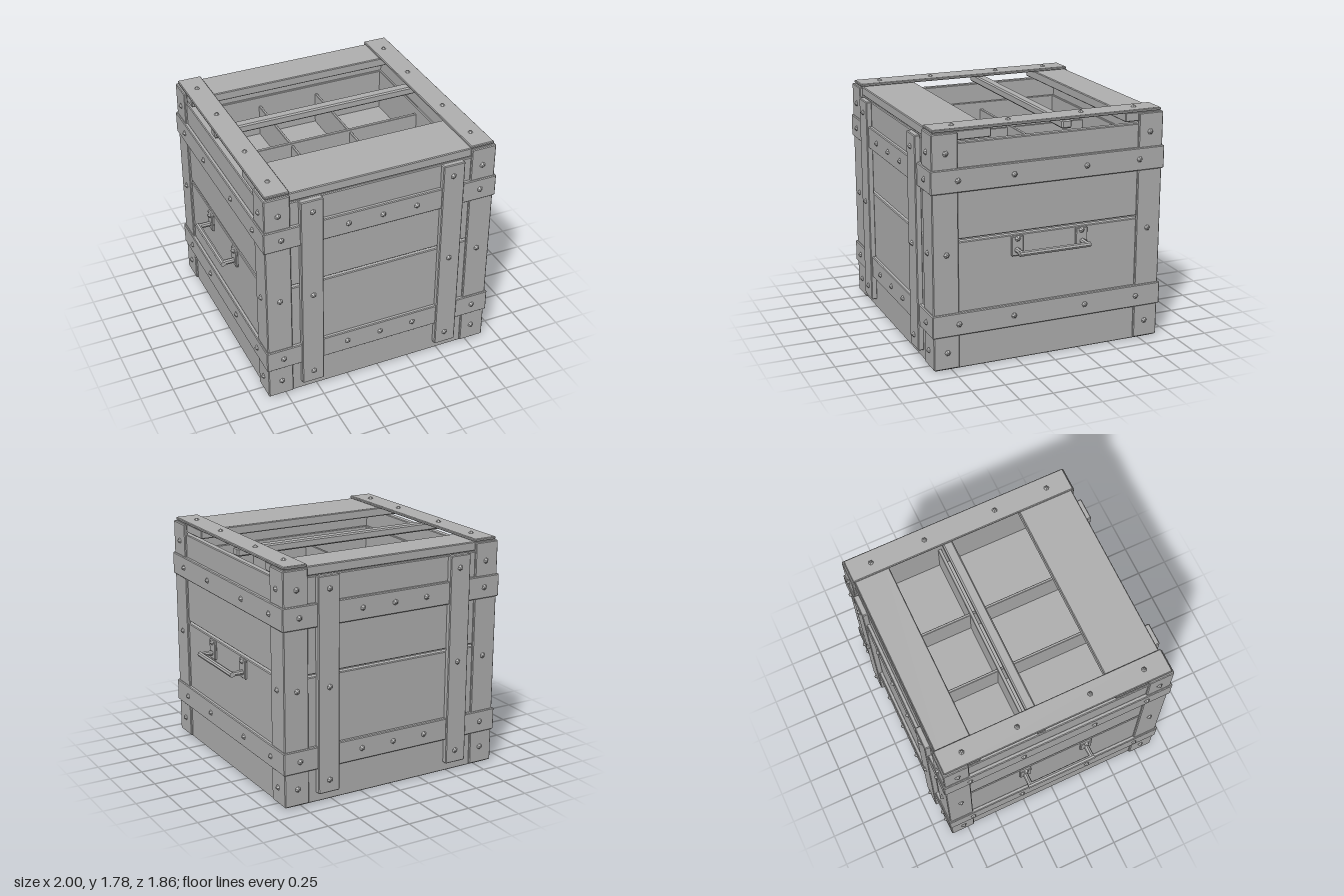
import * as THREE from 'three';
import { ConvexGeometry } from 'three/addons/geometries/ConvexGeometry.js';

const grey = new THREE.MeshStandardMaterial({ color: 0xb0b0b0 });
grey.name = 'plain grey';

// Chamfered box given by its limits on each axis
function block(parent, name, [x0, x1], [y0, y1], [z0, z1], c = 0.006) {
  const h = [(x1 - x0) / 2, (y1 - y0) / 2, (z1 - z0) / 2];
  const b = Math.min(c, ...h.map(v => v * 0.5));
  const points = [];
  for (const sx of [-1, 1]) for (const sy of [-1, 1]) for (const sz of [-1, 1])
    for (let full = 0; full < 3; full++) {
      const p = h.map((v, i) => (i === full ? v : v - b));
      points.push(new THREE.Vector3(p[0] * sx, p[1] * sy, p[2] * sz));
    }
  const mesh = new THREE.Mesh(new ConvexGeometry(points), grey);
  mesh.position.set((x0 + x1) / 2, (y0 + y1) / 2, (z0 + z1) / 2);
  mesh.name = name;
  parent.add(mesh);
  return mesh;
}

// Six-sided rivet whose head points along the given direction
const rivetGeometry = new THREE.CylinderGeometry(0.007, 0.024, 0.02, 6).toNonIndexed();
rivetGeometry.computeVertexNormals();
const up = new THREE.Vector3(0, 1, 0);
function rivet(parent, position, direction) {
  const dir = new THREE.Vector3(...direction);
  const mesh = new THREE.Mesh(rivetGeometry, grey);
  mesh.position.set(...position).addScaledVector(dir, 0.008);
  mesh.quaternion.setFromUnitVectors(up, dir);
  mesh.name = 'rivet';
  parent.add(mesh);
}

// Limits mirrored to the chosen side
const side = (s, a, b) => (s > 0 ? [a, b] : [-b, -a]);

function group(parent, name) {
  const g = new THREE.Group();
  g.name = name;
  parent.add(g);
  return g;
}

const strapHeights = [[0.265, 0.435], [1.315, 1.485]];
const postRivets = [0.14, 0.87, 1.595];

// Front or back: two boards, two straps, two upright battens
function endWall(parent, s) {
  const g = group(parent, s > 0 ? 'frontWall' : 'backWall');
  block(g, 'lowerBoard', [-0.87, 0.87], [0.005, 0.95], side(s, 0.82, 0.872));
  block(g, 'upperBoard', [-0.87, 0.87], [0.97, 1.672], side(s, 0.82, 0.872));
  for (const y of strapHeights) {
    block(g, 'strap', [-0.9, 0.9], y, side(s, 0.868, 0.9));
    for (const x of [-0.77, -0.265, 0, 0.265, 0.77])
      rivet(g, [x, (y[0] + y[1]) / 2, s * 0.9], [0, 0, s]);
  }
  for (const sx of [-1, 1]) {
    block(g, 'batten', side(sx, 0.46, 0.63), [0.075, 1.675], side(s, 0.868, 0.914));
    for (const y of [0.17, 0.87, 1.58]) rivet(g, [sx * 0.54, y, s * 0.914], [0, 0, s]);
    for (const y of postRivets) rivet(g, [sx * 0.785, y, s * 0.888], [0, 0, s]);
  }
}

// Left or right: two boards, two straps and a carrying handle
function sideWall(parent, s) {
  const g = group(parent, s > 0 ? 'leftWall' : 'rightWall');
  block(g, 'lowerBoard', side(s, 0.82, 0.872), [0.005, 0.95], [-0.83, 0.83]);
  block(g, 'upperBoard', side(s, 0.82, 0.872), [0.97, 1.66], [-0.83, 0.83]);
  for (const y of strapHeights) {
    block(g, 'strap', side(s, 0.868, 0.9), y, [-0.9, 0.9]);
    for (const z of [-0.7, -0.28, 0.28, 0.7])
      rivet(g, [s * 0.9, (y[0] + y[1]) / 2, z], [s, 0, 0]);
  }
  for (const sz of [-1, 1])
    for (const y of postRivets) rivet(g, [s * 0.888, y, sz * 0.785], [s, 0, 0]);

  const handle = group(g, 'handle');
  const grip = new THREE.CylinderGeometry(0.02, 0.02, 0.55, 8).toNonIndexed();
  grip.computeVertexNormals();
  const bar = new THREE.Mesh(grip, grey);
  bar.rotation.x = Math.PI / 2;
  bar.position.set(s * 0.98, 0.84, 0);
  bar.name = 'grip';
  handle.add(bar);
  for (const sz of [-1, 1]) {
    block(handle, 'mountPlate', side(s, 0.868, 0.89), [0.795, 0.942], side(sz, 0.205, 0.297));
    const shank = new THREE.CylinderGeometry(0.02, 0.02, 0.1, 8).toNonIndexed();
    shank.computeVertexNormals();
    const arm = new THREE.Mesh(shank, grey);
    arm.rotation.z = Math.PI / 2;
    arm.position.set(s * 0.93, 0.84, sz * 0.255);
    arm.name = 'arm';
    handle.add(arm);
    rivet(handle, [s * 0.89, 0.923, sz * 0.25], [s, 0, 0]);
  }
}

export function createModel() {
  const crate = new THREE.Group();
  crate.name = 'crate';

  // Base
  block(crate, 'floor', [-0.865, 0.865], [0, 0.05], [-0.865, 0.865], 0.01);
  for (const s of [-1, 1]) {
    endWall(crate, s);
    sideWall(crate, s);
  }

  // Angled corner posts
  for (const sx of [-1, 1]) for (const sz of [-1, 1]) {
    const post = group(crate, 'cornerPost');
    block(post, 'endFlange', side(sx, 0.695, 0.888), [0.015, 1.737], side(sz, 0.862, 0.888));
    block(post, 'sideFlange', side(sx, 0.862, 0.888), [0.015, 1.737], side(sz, 0.695, 0.888));
  }

  // Divided tray inside
  const tray = group(crate, 'tray');
  block(tray, 'trayFloor', [-0.82, 0.82], [1.15, 1.18], [-0.82, 0.82]);
  for (const s of [-1, 1]) {
    block(tray, 'trayEnd', [-0.82, 0.82], [1.15, 1.51], side(s, 0.8, 0.82));
    block(tray, 'traySide', side(s, 0.8, 0.82), [1.15, 1.51], [-0.82, 0.82]);
    block(tray, 'longDivider', side(s, 0.23, 0.25), [1.17, 1.43], [-0.81, 0.81], 0.003);
  }
  block(tray, 'crossDivider', [-0.81, 0.81], [1.17, 1.45], [-0.178, -0.152], 0.003);

  // Open lid: two wide boards, a slat and two straps
  const lid = group(crate, 'lid');
  block(lid, 'frontBoard', [-0.865, 0.865], [1.675, 1.743], [0.44, 0.865]);
  block(lid, 'backBoard', [-0.865, 0.865], [1.675, 1.743], [-0.865, -0.595]);
  block(lid, 'slat', [-0.865, 0.865], [1.675, 1.737], [-0.172, -0.095], 0.01);
  for (const s of [-1, 1]) {
    block(lid, 'lidStrap', side(s, 0.692, 0.875), [1.742, 1.763], [-0.875, 0.875]);
    for (const z of [-0.7, -0.28, 0.28, 0.7]) rivet(lid, [s * 0.78, 1.76, z], [0, 1, 0]);
  }
  return crate;
}
